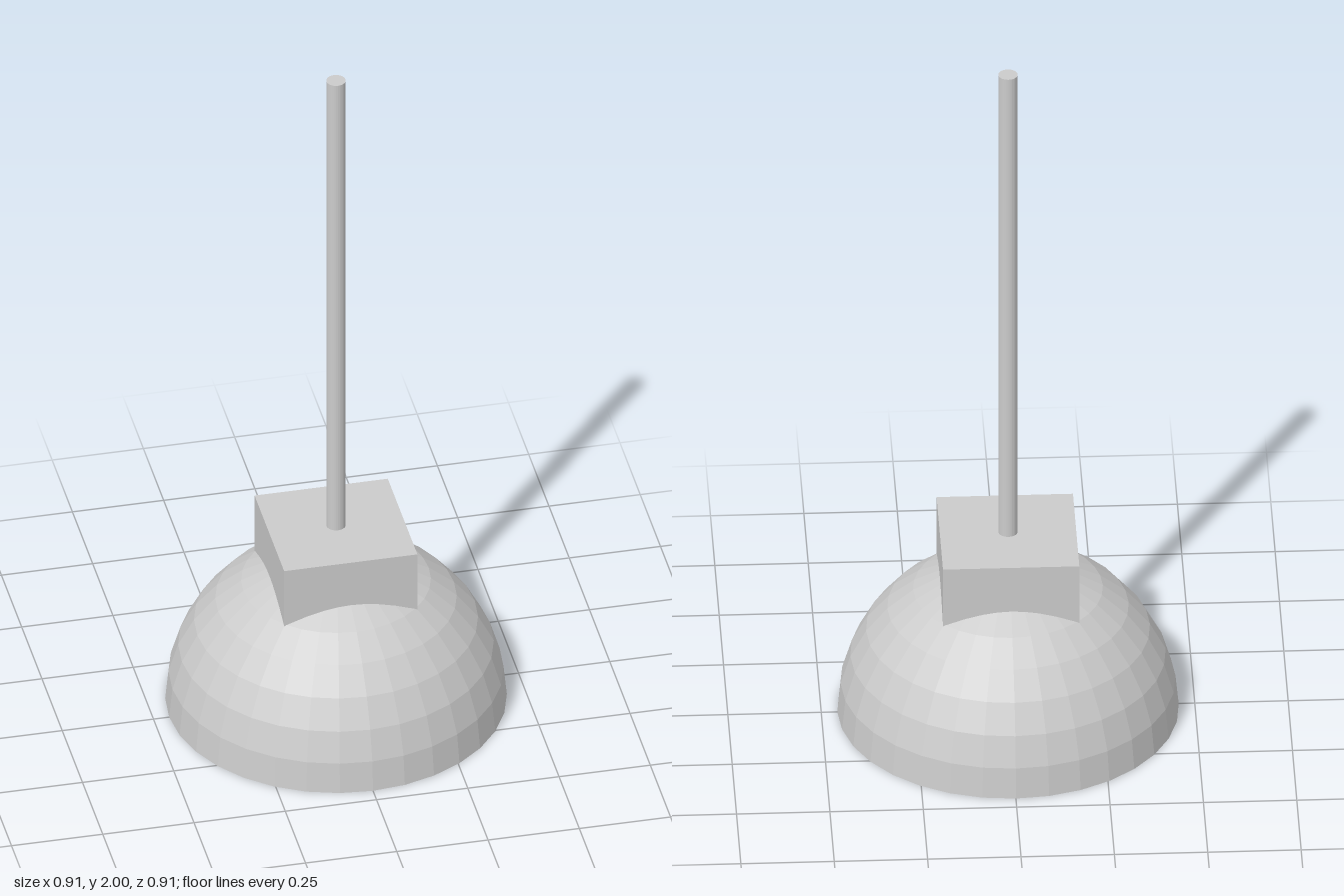
import * as THREE from 'three';

export function createModel() {
  const group = new THREE.Group();
  const material = new THREE.MeshStandardMaterial({ color: 0xcccccc, flatShading: true });
  const shellMaterial = new THREE.MeshStandardMaterial({
    color: 0xcccccc, flatShading: true, side: THREE.DoubleSide,
  });

  const add = (name, geometry, y, mat = material) => {
    const mesh = new THREE.Mesh(geometry, mat);
    mesh.name = name;
    mesh.position.y = y;
    group.add(mesh);
  };

  // Open faceted hemisphere, hollow underneath
  add('dome', new THREE.SphereGeometry(0.457, 32, 8, 0, Math.PI * 2, 0, Math.PI / 2), 0, shellMaterial);

  // Cube sunk through the top of the dome
  const side = 0.365, blockTop = 0.556;
  add('mountBlock', new THREE.BoxGeometry(side, side, side), blockTop - side / 2);

  // Slim rod rising from inside the block
  const rodBottom = 0.5, rodTop = 2;
  add('rod', new THREE.CylinderGeometry(0.026, 0.026, rodTop - rodBottom, 32), (rodTop + rodBottom) / 2);

  return group;
}
